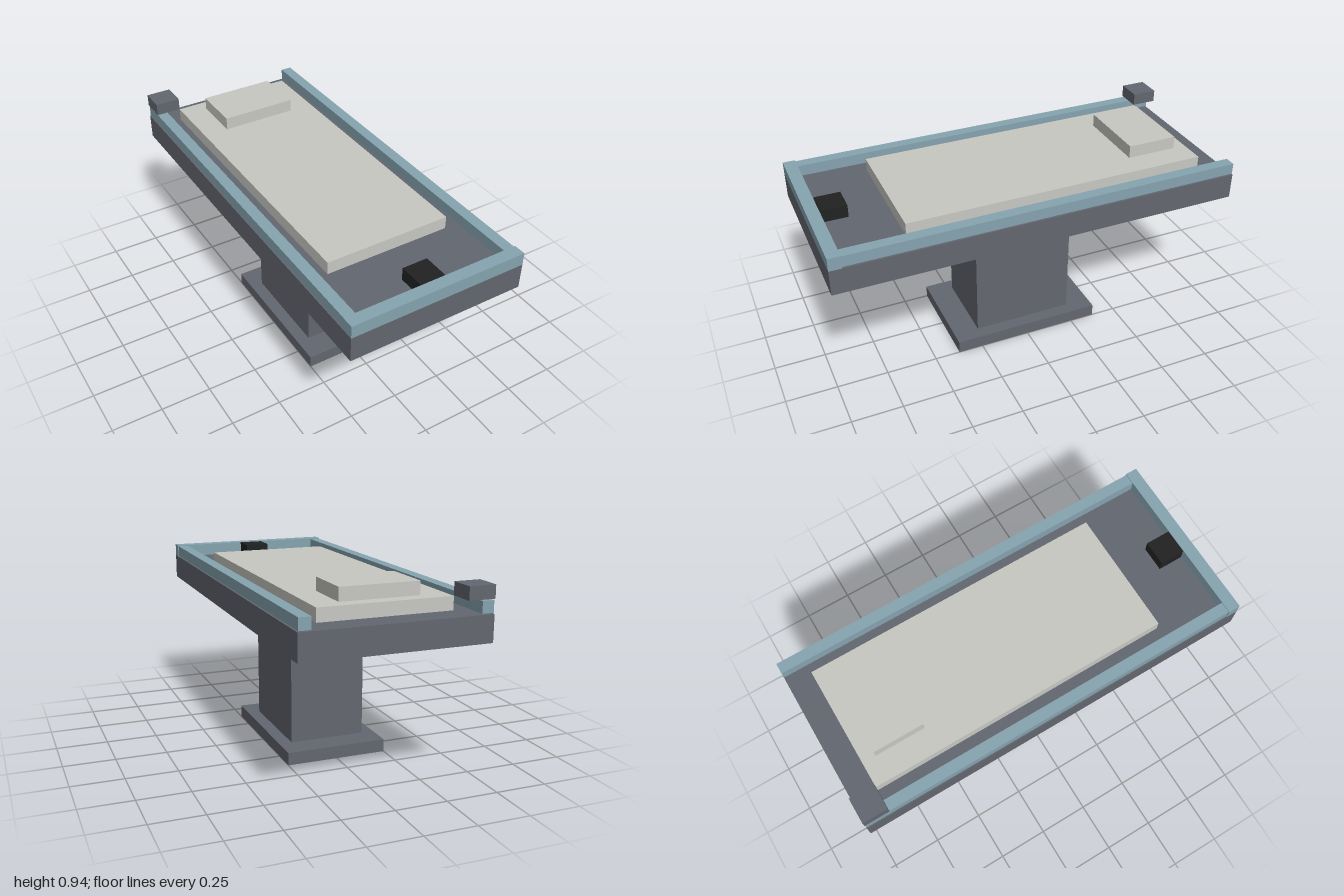
import * as THREE from 'three';

const material = (name, color) => {
  const m = new THREE.MeshStandardMaterial({ color });
  m.name = name;
  return m;
};

export function createModel() {
  const model = new THREE.Group();
  model.name = 'operatingTable';

  const grey = material('dark grey', 0x63676f);
  const blue = material('steel blue', 0x86a4b0);
  const cream = material('pale grey', 0xc8c8c3);
  const black = material('black', 0x212222);

  // Adds a box spanning the given [min, max] range on each axis
  const addBox = (name, mat, [x0, x1], [y0, y1], [z0, z1]) => {
    const mesh = new THREE.Mesh(new THREE.BoxGeometry(x1 - x0, y1 - y0, z1 - z0), mat);
    mesh.position.set((x0 + x1) / 2, (y0 + y1) / 2, (z0 + z1) / 2);
    mesh.name = name;
    model.add(mesh);
  };

  // Pedestal and table slab
  addBox('foot', grey, [-0.25, 0.25], [0, 0.0625], [-0.375, 0.375]);
  addBox('column', grey, [-0.1875, 0.1875], [0.0625, 0.6875], [-0.25, 0.25]);
  addBox('tableSlab', grey, [-0.4375, 0.4375], [0.6875, 0.8125], [-1, 1]);

  // Rails: one across the front, one along each side, slightly slimmer
  addBox('frontRail', blue, [-0.4375, 0.4375], [0.8125, 0.875], [0.94, 1]);
  addBox('leftRail', blue, [0.379, 0.434], [0.817, 0.871], [-0.998, 0.94]);
  addBox('rightRail', blue, [-0.434, -0.379], [0.817, 0.871], [-0.998, 0.94]);

  // Padding
  addBox('mattress', cream, [-0.3125, 0.3125], [0.8125, 0.875], [-0.878, 0.622]);
  addBox('pillow', cream, [-0.1875, 0.1875], [0.875, 0.9375], [-0.8125, -0.5625]);

  // Control boxes
  addBox('cornerBox', grey, [-0.4375, -0.3125], [0.877, 0.9375], [-1, -0.877]);
  addBox('footControl', black, [-0.0625, 0.0625], [0.8125, 0.875], [0.8125, 0.9375]);

  return model;
}
